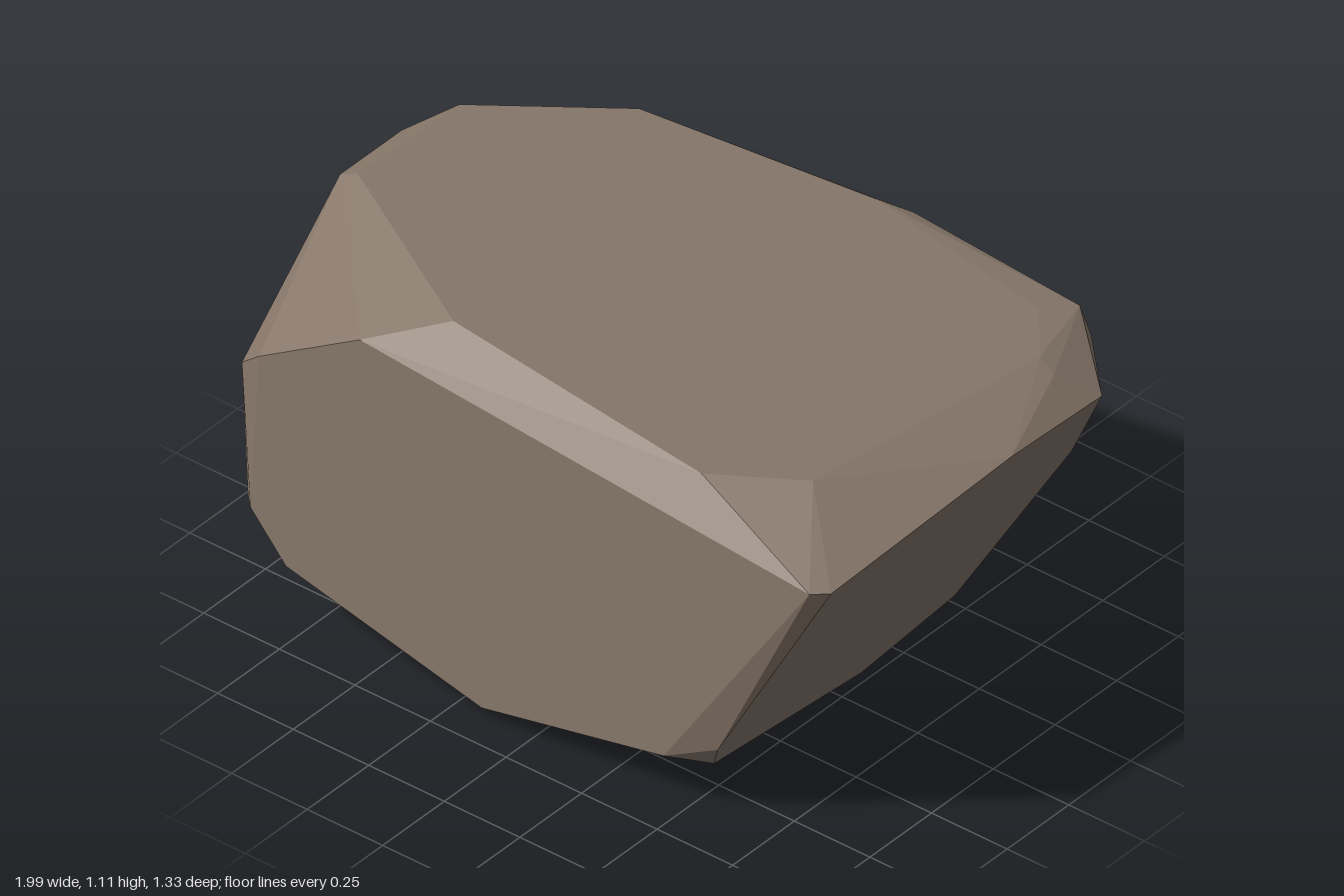
import * as THREE from 'three';
import { ConvexGeometry } from 'three/addons/geometries/ConvexGeometry.js';

// Lays a face outline on its tilted plane; place(a, b) gives [x, y, z].
function layFace(outline, place) {
  return outline.map(([a, b]) => new THREE.Vector3(...place(a, b)));
}

// The stone has six broad faces; the hull around them makes the worn bevels.
function boulderGeometry() {
  const front = layFace(
    [[-0.92, 0.32], [-0.9, 0.8], [-0.57, 1.0], [0.03, 0.945], [0.92, 0.875],
      [0.45, 0.16], [-0.15, 0.04], [-0.8, 0.19]],
    (x, y) => [x, y, 0.666 - 0.021 * y]);

  const back = layFace(
    [[-0.95, 0.2], [-0.94, 0.65], [-0.52, 0.89], [0.2, 0.955], [0.79, 0.91],
      [0.77, 0.62], [0.38, 0.05], [-0.5, 0.05]],
    (x, y) => [x, y, -0.427 - 0.25 * y]);

  // Left side leans outward, given as [z, y]
  const leftSide = layFace(
    [[0.605, 0.87], [-0.08, 0.94], [-0.47, 0.905], [-0.54, 0.62], [-0.42, 0.1],
      [-0.1, 0.012], [0.58, 0.135], [0.63, 0.23]],
    (z, y) => [0.475 + 0.554 * y, y, z]);

  // Right side is nearly upright, given as [z, y]
  const rightSide = layFace(
    [[0.6, 0.3], [0.61, 0.72], [0.2, 1.08], [-0.05, 1.08], [-0.54, 0.75],
      [-0.46, 0.2], [-0.09, 0.04], [0.3, 0.04]],
    (z, y) => [-0.968 - 0.028 * y, y, z]);

  // Top slopes down to the left, given as [x, z]
  const top = layFace(
    [[-0.94, 0.2], [-0.93, -0.2], [-0.58, -0.5], [0.1, -0.62], [0.7, -0.55],
      [0.83, -0.4], [0.73, 0.4], [0.5, 0.57], [-0.37, 0.51]],
    (x, z) => [x, 1.053 - 0.06 * x, z]);

  const underside = layFace(
    [[-0.77, 0.2], [-0.6, 0.45], [0.05, 0.53], [0.4, 0.1], [0.3, -0.28], [-0.55, -0.32]],
    (x, z) => [x, 0, z]);

  // Corners of the back upper rim
  const rim = [
    new THREE.Vector3(0.89, 0.98, -0.38),
    new THREE.Vector3(0.76, 0.995, -0.645),
    new THREE.Vector3(0.2, 1.025, -0.66),
  ];

  return new ConvexGeometry([...front, ...back, ...leftSide, ...rightSide, ...top, ...underside, ...rim]);
}

export function createModel() {
  const stone = new THREE.MeshStandardMaterial({ color: 0x87776a });
  stone.name = 'brownStone';

  const boulder = new THREE.Mesh(boulderGeometry(), stone);
  boulder.name = 'boulder';

  const group = new THREE.Group();
  group.name = 'rock';
  group.add(boulder);
  return group;
}
